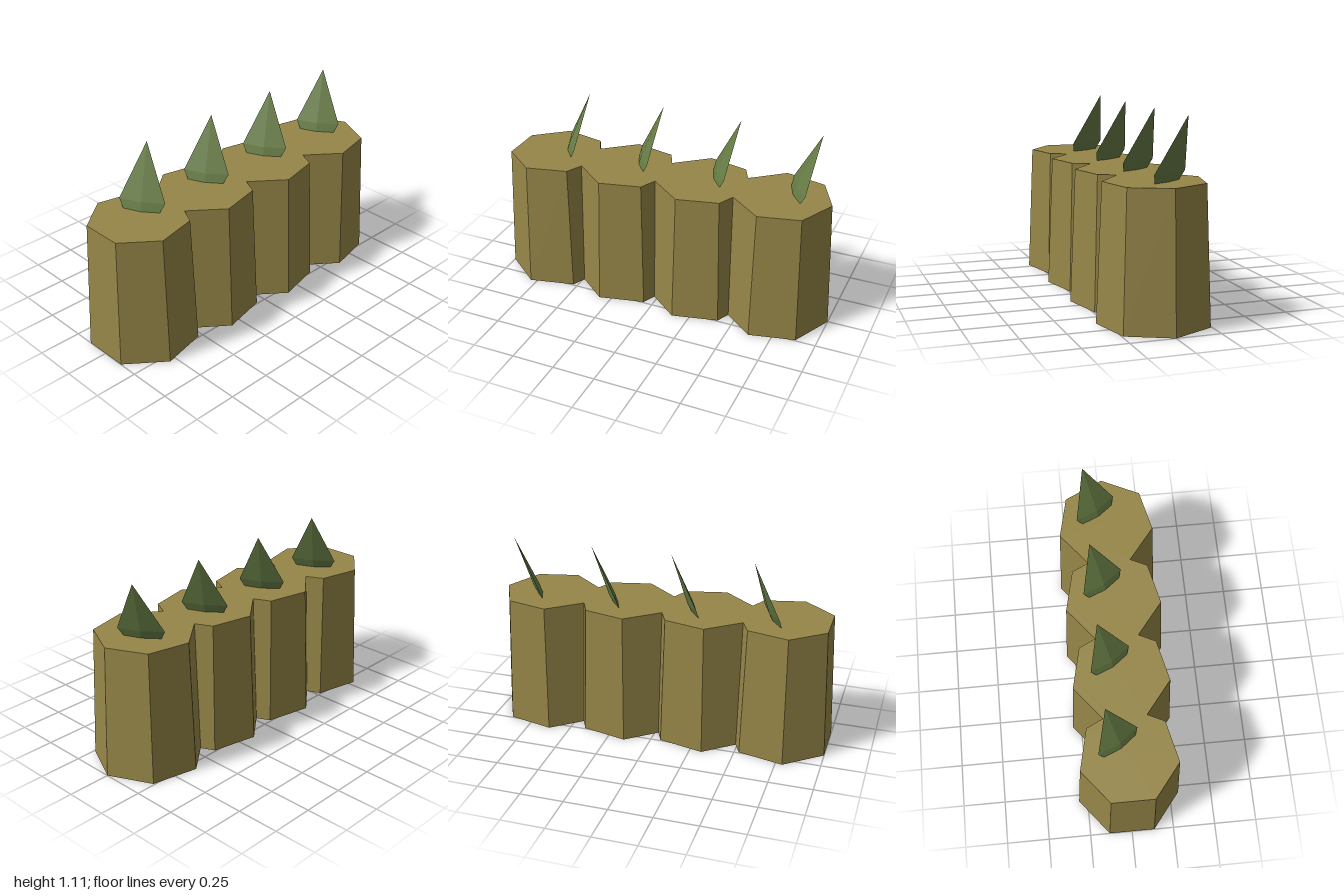
import * as THREE from 'three';

const COUNT = 4, SPACING = 0.47, FIRST_X = -0.72;
const HEIGHT = 0.76, R_BOTTOM = 0.31, R_TOP = 0.279;

export function createModel() {
  const olive = new THREE.MeshStandardMaterial({ color: 0x968648, flatShading: true });
  olive.name = 'olive brown';
  const green = new THREE.MeshStandardMaterial({ color: 0x667c45, flatShading: true });
  green.name = 'leaf green';

  // Tapered seven-sided post, one corner towards +x
  const postGeo = new THREE.CylinderGeometry(R_TOP, R_BOTTOM, HEIGHT, 7, 1, false, Math.PI / 2);
  postGeo.translate(0, HEIGHT / 2, 0);

  // Diamond blade, flattened, turned and leaning; its lower point is sunk in the post
  const bladeGeo = new THREE.LatheGeometry(
    [[0, -0.25], [0.131, 0], [0, 0.303]].map(([r, y]) => new THREE.Vector2(r, y)), 4);
  const nx = 0.86, nz = -0.51, lean = 0.375, flat = 0.14;
  bladeGeo.applyMatrix4(new THREE.Matrix4().makeBasis(
    new THREE.Vector3(-nz, 0, nx),
    new THREE.Vector3(nx * lean, 1, nz * lean),
    new THREE.Vector3(-nx * flat, 0, -nz * flat)));
  bladeGeo.translate(0.073, 0.81, -0.053);

  const model = new THREE.Group();
  model.name = 'hedgeRow';
  for (let i = 0; i < COUNT; i++) {
    const segment = new THREE.Group();
    segment.name = 'segment' + (i + 1);
    segment.position.x = FIRST_X + i * SPACING;
    const post = new THREE.Mesh(postGeo, olive);
    post.name = 'post';
    const blade = new THREE.Mesh(bladeGeo, green);
    blade.name = 'leafBlade';
    segment.add(post, blade);
    model.add(segment);
  }
  return model;
}
